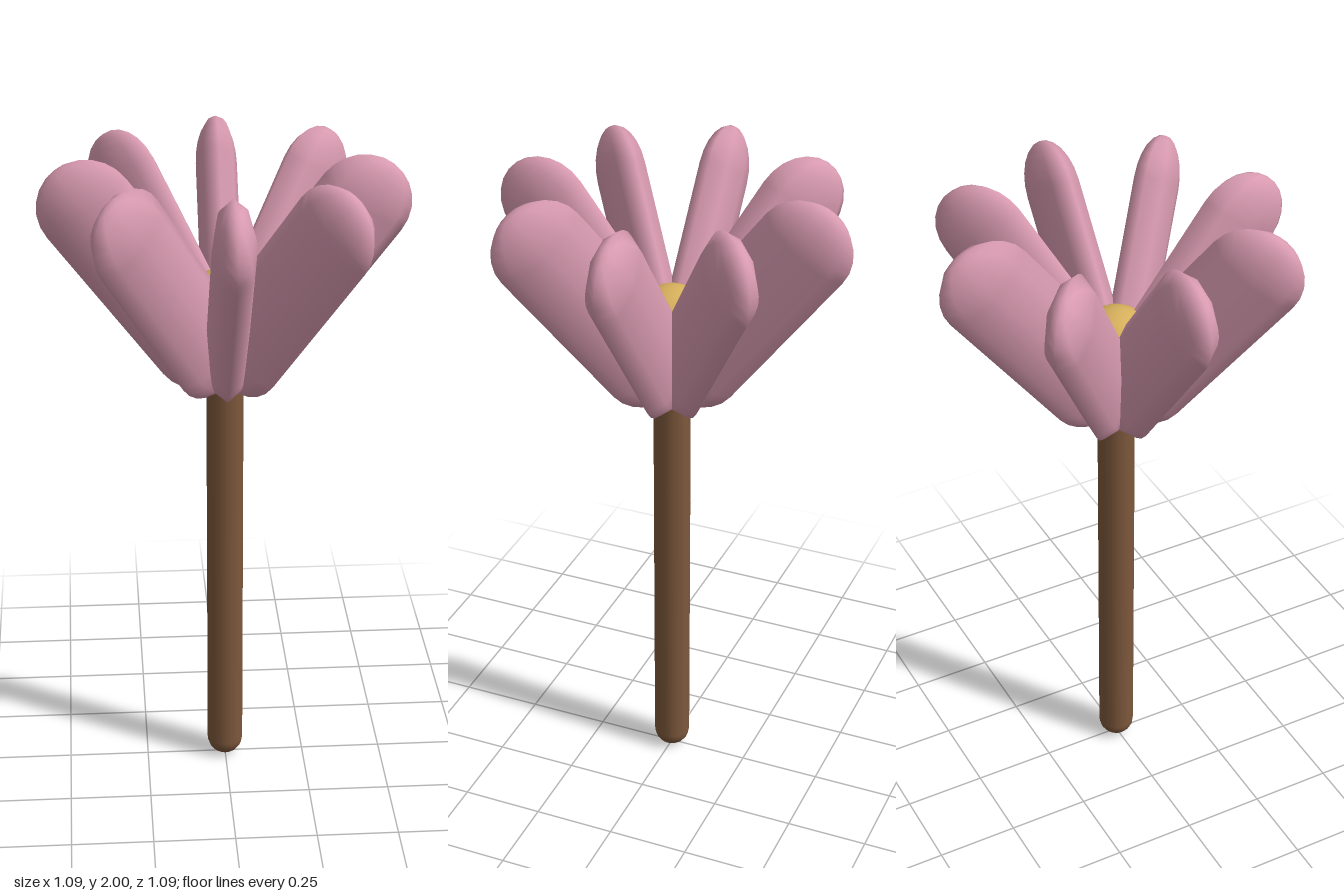
import * as THREE from 'three';

const material = (name, color) => {
  const m = new THREE.MeshStandardMaterial({ color });
  m.name = name;
  return m;
};

export function createModel() {
  const pink = material('petal pink', 0xd89ab0);
  const brown = material('stem brown', 0x7d583c);
  const yellow = material('centre yellow', 0xd6b05c);
  const flower = new THREE.Group();
  flower.name = 'flower';

  const add = (name, geometry, mat, parent = flower) => {
    const mesh = new THREE.Mesh(geometry, mat);
    mesh.name = name;
    parent.add(mesh);
    return mesh;
  };

  // Rounded stem, its top hidden among the petals
  const stemRadius = 0.056, stemTop = 1.45;
  add('stem', new THREE.CapsuleGeometry(stemRadius, stemTop - 2 * stemRadius, 6, 16), brown)
    .position.y = stemTop / 2;

  // Round flower centre
  add('flowerCentre', new THREE.SphereGeometry(0.12, 24, 16), yellow).position.y = 1.54;

  // Eight flattened capsules leaning outwards, thin side facing out
  const radius = 0.145, lean = 0.65, length = 0.546;
  const petal = new THREE.CapsuleGeometry(radius, length, 6, 8);
  petal.scale(1, 1, 0.063 / radius);
  petal.rotateZ(-lean);
  petal.translate(0.236, 1.638, 0);
  const petals = new THREE.Group();
  petals.name = 'petals';
  flower.add(petals);
  for (let i = 0; i < 8; i++) {
    add('petal', petal, pink, petals).rotation.y = i * Math.PI / 4;
  }
  return flower;
}
